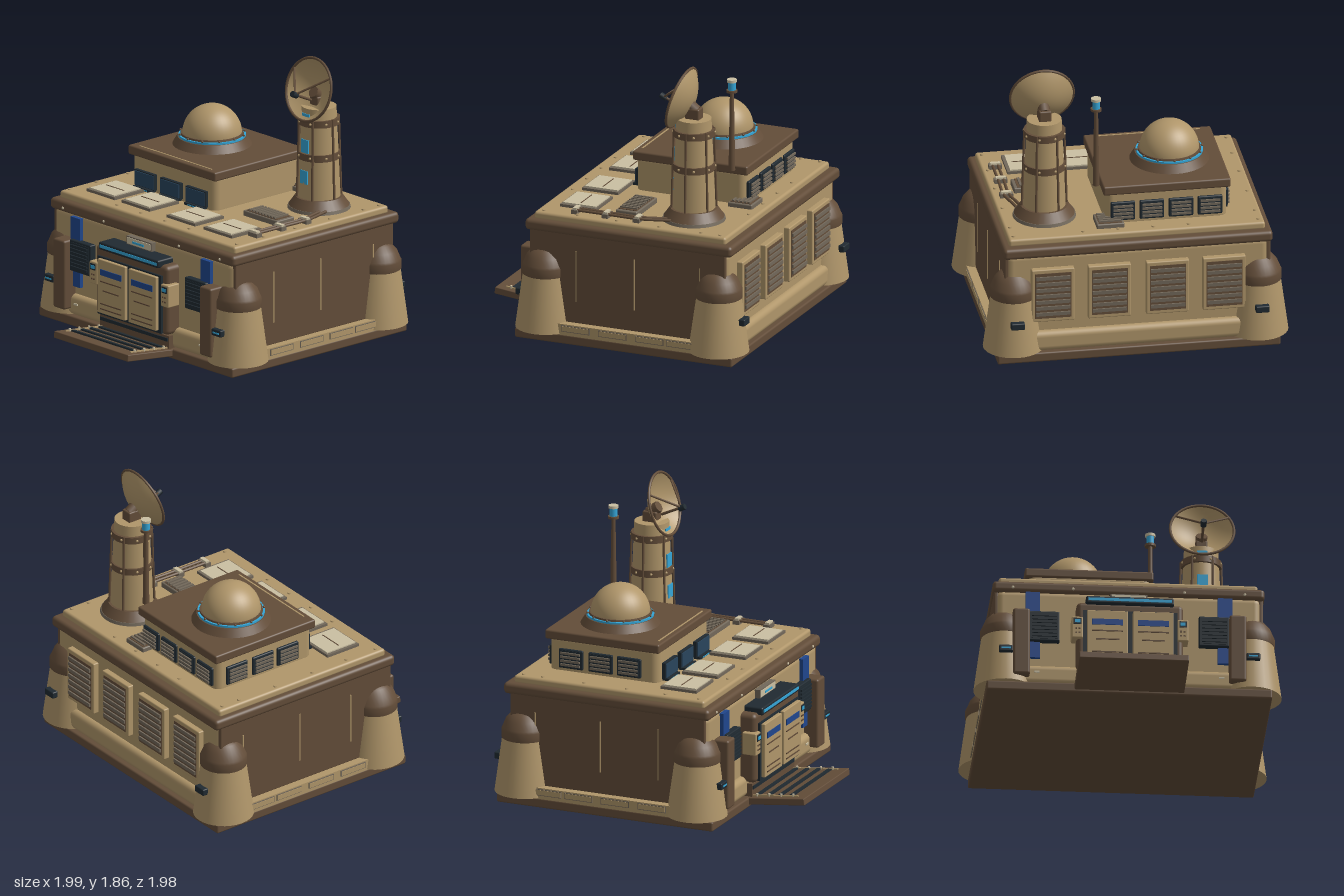
import * as THREE from 'three';
import { RoundedBoxGeometry } from 'three/addons/geometries/RoundedBoxGeometry.js';

const mat = (name, color, side = THREE.FrontSide) => {
  const m = new THREE.MeshStandardMaterial({ color, side });
  m.name = name;
  return m;
};

export function createModel() {
  const root = new THREE.Group();
  root.name = 'outpost';
  const tan = mat('sand plaster', 0xb0966a, THREE.DoubleSide);
  const brown = mat('brown metal', 0x634d39);
  const dark = mat('dark brown', 0x4a3828);
  const slate = mat('dark slate', 0x202a31);
  const navy = mat('blue banner', 0x20468c);
  const glass = mat('window blue', 0x29445c);
  const cyan = mat('cyan light', 0x35a5d6);
  const cream = mat('cream panel', 0xcabfa2);
  const grey = mat('grey metal', 0x72685a);

  let parent = root;
  const add = (name, geo, m, x, y, z) => {
    const mesh = new THREE.Mesh(geo, m);
    mesh.name = name;
    mesh.position.set(x, y, z);
    parent.add(mesh);
    return mesh;
  };
  const group = (name, x, y, z, build) => {
    const g = new THREE.Group(), old = parent;
    g.name = name;
    g.position.set(x, y, z);
    old.add(g);
    parent = g;
    build(g);
    parent = old;
    return g;
  };
  // Box from its limits, rounded when r > 0
  const box = (name, m, x0, x1, y0, y1, z0, z1, r = 0) => {
    const s = [x1 - x0, y1 - y0, z1 - z0];
    const geo = r ? new RoundedBoxGeometry(...s, 3, r) : new THREE.BoxGeometry(...s);
    return add(name, geo, m, (x0 + x1) / 2, (y0 + y1) / 2, (z0 + z1) / 2);
  };
  const cyl = (name, m, rTop, rBottom, y0, y1, x, z, n = 32) =>
    add(name, new THREE.CylinderGeometry(rTop, rBottom, y1 - y0, n), m, x, (y0 + y1) / 2, z);
  const rod = (name, m, a, b, r) => {
    const p = new THREE.Vector3(...a), q = new THREE.Vector3(...b), d = q.clone().sub(p);
    const mesh = add(name, new THREE.CylinderGeometry(r, r, d.length(), 8), m, 0, 0, 0);
    mesh.position.copy(p).add(q).multiplyScalar(0.5);
    mesh.quaternion.setFromUnitVectors(new THREE.Vector3(0, 1, 0), d.normalize());
    return mesh;
  };
  const sides = [-1, 1];
  // Louvred vent facing +z, centred on its group
  const vent = (name, w, h, x, y, z, frame, inner, slat, count, d = 0.04) => group(name, x, y, z, () => {
    box('ventFrame', frame, -w / 2, w / 2, -h / 2, h / 2, -d / 2, d / 2, 0.008);
    box('ventRecess', inner, -w * 0.42, w * 0.42, -h * 0.43, h * 0.43, d / 2, d / 2 + 0.004);
    for (let i = 0; i < count; i++) {
      const sy = h * 0.8 * ((i + 0.5) / count - 0.5);
      box('ventSlat', slat, -w * 0.4, w * 0.4, sy - h * 0.22 / count, sy + h * 0.22 / count, d / 2, d / 2 + 0.014);
    }
  });

  // Foundation and walls
  box('foundation', brown, -0.925, 0.925, 0, 0.065, -0.94, 0.59, 0.012);
  box('walls', tan, -0.86, 0.86, 0.07, 0.75, -0.88, 0.525, 0.05);
  box('lowerSkirt', tan, -0.86, 0.86, 0.06, 0.2, -0.92, 0.565, 0.04);
  box('cornice', brown, -0.88, 0.88, 0.725, 0.8, -0.915, 0.54, 0.025);
  box('roofSlab', tan, -0.838, 0.838, 0.79, 0.845, -0.857, 0.49, 0.018);
  for (const s of sides) {
    const span = (a, b) => (s > 0 ? [a, b] : [-b, -a]);
    box('sideWall', brown, ...span(0.84, 0.87), 0.13, 0.74, -0.87, 0.51, 0.01);
    box('sideSkirt', tan, ...span(0.84, 0.925), 0.06, 0.135, -0.7, 0.35);
    for (const z of [0.16, -0.1, -0.36, -0.58]) {
      box('skirtFrame', grey, ...span(0.92, 0.93), 0.085, 0.128, z - 0.1, z + 0.1);
      box('skirtPlate', tan, ...span(0.925, 0.933), 0.09, 0.123, z - 0.095, z + 0.095);
    }
    for (const z of [0.18, -0.23, -0.69]) box('wallSeam', tan, ...span(0.865, 0.875), 0.28, 0.625, z - 0.004, z + 0.004);

    // Corner towers with domed caps
    for (const [z, f] of [[0.425, 1], [-0.795, -1]]) group('cornerTower', s * 0.8, 0, z, () => {
      cyl('towerBody', tan, 0.145, 0.197, 0.065, 0.45, 0, 0);
      const cap = [[0.145, 0.425], [0.153, 0.43], [0.153, 0.485], [0.145, 0.5], [0.125, 0.55], [0.09, 0.59], [0.045, 0.612], [0, 0.618]];
      add('towerCap', new THREE.LatheGeometry(cap.map(p => new THREE.Vector2(...p)), 32), brown, 0, 0, 0);
      const zz = f * 0.175;
      box('towerLamp', slate, -0.045, 0.045, 0.262, 0.308, zz - 0.025, zz + 0.02, 0.008);
      box('towerLampLight', cyan, -0.03, 0.03, 0.28, 0.29, zz + f * 0.02 - 0.003, zz + f * 0.02 + 0.003);
    });

    // Front wall dressing
    box('buttress', brown, ...span(0.645, 0.755), 0.105, 0.57, 0.5, 0.625, 0.015);
    box('banner', navy, ...span(0.575, 0.668), 0.255, 0.72, 0.52, 0.55);
    vent('frontVent', 0.2, 0.21, s * 0.55, 0.47, 0.55, slate, slate, slate, 7, 0.05);
    box('skirtLamp', cream, ...span(0.58, 0.615), 0.138, 0.15, 0.56, 0.572);
    box('keypad', tan, ...span(0.305, 0.378), 0.36, 0.51, 0.55, 0.65, 0.008);
    box('keypadFrame', slate, ...span(0.317, 0.366), 0.455, 0.497, 0.648, 0.655);
    box('keypadScreen', cyan, ...span(0.324, 0.358), 0.465, 0.487, 0.652, 0.659);
    for (const [i, j] of [[0, 0], [1, 0], [0, 1], [1, 1]])
      box('key', brown, ...span(0.322 + i * 0.022, 0.334 + i * 0.022), 0.39 + j * 0.03, 0.4 + j * 0.03, 0.648, 0.655);
  }
  for (const x of [-0.75, -0.36, 0.36, 0.75]) add('corniceBolt', new THREE.SphereGeometry(0.01, 8, 6), cream, x, 0.755, 0.538);
  for (const x of [-0.56, -0.19, 0.19, 0.56])
    vent('backVent', 0.28, 0.37, x, 0.46, -0.89, tan, brown, grey, 7, 0.06).rotation.y = Math.PI;

  // Entrance
  group('entrance', 0, 0, 0, () => {
    box('doorSurround', brown, -0.345, 0.345, 0.16, 0.625, 0.48, 0.63, 0.03);
    box('doorRecess', slate, -0.305, 0.305, 0.17, 0.56, 0.6, 0.645);
    for (const s of sides) {
      const c = s * 0.148;
      box('doorLeaf', tan, c - 0.132, c + 0.132, 0.188, 0.55, 0.62, 0.67, 0.006);
      box('doorStripe', navy, c - 0.1, c + 0.1, 0.447, 0.487, 0.668, 0.675);
      for (const [y, w] of [[0.405, 0.1], [0.345, 0.075], [0.255, 0.1], [0.22, 0.1]])
        box('doorGroove', brown, c - w, c + w, y - 0.004, y + 0.004, 0.668, 0.674);
    }
    box('awning', slate, -0.285, 0.285, 0.607, 0.66, 0.51, 0.655, 0.012);
    box('awningLight', cyan, -0.27, 0.27, 0.625, 0.644, 0.65, 0.659);
    box('signFrame', grey, -0.12, 0.12, 0.663, 0.72, 0.51, 0.56);
    box('signPlate', cream, -0.11, 0.11, 0.67, 0.712, 0.558, 0.565);
    box('signLight', cyan, -0.055, 0.055, 0.682, 0.696, 0.563, 0.569);
    box('threshold', brown, -0.33, 0.33, 0.06, 0.15, 0.53, 0.6);
    box('thresholdGrille', slate, -0.32, 0.32, 0.113, 0.135, 0.59, 0.607);
  });

  // Ramp, rising slightly outward
  group('ramp', 0, 0.063, 0.782, g => {
    g.rotation.x = -0.115;
    box('rampPlate', brown, -0.355, 0.355, -0.023, 0.023, -0.2, 0.2, 0.006);
    for (let i = 0; i < 4; i++) box('rampTread', slate, -0.3, 0.3, 0.02, 0.034, -0.165 + i * 0.08, -0.14 + i * 0.08);
    for (const s of sides) {
      box('rampRail', tan, s * 0.31 - 0.006, s * 0.31 + 0.006, 0.02, 0.032, -0.18, 0.14);
      for (let i = 0; i < 4; i++) cyl('rampStud', cream, 0.008, 0.008, 0.02, 0.042, s * 0.31, -0.15 + i * 0.085, 8);
    }
  });

  // Roof cabin
  group('cabin', 0, 0, 0, () => {
    box('cabinWalls', tan, -0.615, 0.18, 0.8, 1.09, -0.71, 0.065, 0.05);
    box('cabinRoof', brown, -0.635, 0.198, 1.05, 1.112, -0.73, 0.078, 0.012);
    box('roofEdgeTrim', tan, -0.56, 0.13, 1.108, 1.115, 0.035, 0.045);
    for (const x of [-0.465, -0.218, 0.025]) {
      box('windowFrame', slate, x - 0.095, x + 0.095, 0.862, 0.968, 0.05, 0.09);
      box('windowPane', glass, x - 0.088, x + 0.088, 0.869, 0.961, 0.088, 0.096);
      box('windowSill', slate, x - 0.085, x + 0.085, 0.848, 0.864, 0.05, 0.112);
      box('sillLight', cyan, x - 0.05, x + 0.05, 0.852, 0.858, 0.108, 0.115);
    }
    for (const x of [-0.5, -0.31, -0.12, 0.07])
      vent('cabinBackVent', 0.16, 0.13, x, 0.93, -0.71, slate, slate, grey, 4, 0.03).rotation.y = Math.PI;
    for (const z of [-0.55, -0.34, -0.14])
      vent('cabinSideVent', 0.17, 0.13, -0.615, 0.93, z, slate, slate, grey, 4, 0.03).rotation.y = -Math.PI / 2;
  });

  // Observation dome
  group('dome', -0.295, 0, -0.348, () => {
    cyl('domeBase', brown, 0.225, 0.262, 1.105, 1.165, 0, 0, 40);
    cyl('domeLightRing', cyan, 0.218, 0.218, 1.16, 1.178, 0, 0, 40);
    cyl('domeCollar', brown, 0.203, 0.207, 1.17, 1.19, 0, 0, 40);
    add('domeShell', new THREE.SphereGeometry(0.193, 40, 16, 0, Math.PI * 2, 0, Math.PI / 2), tan, 0, 1.183, 0);
    for (let i = 0; i < 12; i++) {
      const a = i * Math.PI / 6;
      add('domeBolt', new THREE.SphereGeometry(0.008, 8, 6), brown, 0.213 * Math.cos(a), 1.184, 0.213 * Math.sin(a));
    }
  });

  // Dish tower
  group('dishTower', 0.55, 0, -0.51, () => {
    cyl('towerFlange', grey, 0.2, 0.207, 0.84, 0.865, 0, 0);
    cyl('towerFoot', brown, 0.155, 0.2, 0.86, 0.925, 0, 0);
    cyl('towerColumn', tan, 0.113, 0.14, 0.9, 1.53, 0, 0);
    for (const [y, r] of [[1.205, 0.137], [1.435, 0.134]]) {
      cyl('towerBand', brown, r, r, y - 0.023, y + 0.023, 0, 0);
      for (let i = 0; i < 8; i++) {
        const a = (i + 0.5) * Math.PI / 4;
        add('bandBolt', new THREE.SphereGeometry(0.009, 8, 6), tan, r * Math.sin(a), y, r * Math.cos(a));
      }
    }
    for (let i = 0; i < 6; i++) {
      const a = (i + 0.5) * Math.PI / 3;
      rod('towerStrut', brown, [0.147 * Math.sin(a), 0.9, 0.147 * Math.cos(a)], [0.13 * Math.sin(a), 1.46, 0.13 * Math.cos(a)], 0.008);
    }
    for (const [y, h, z] of [[1.277, 0.09, 0.126], [1.07, 0.09, 0.134], [1.475, 0.04, 0.117]])
      box('towerWindow', cyan, -0.034, 0.034, y - h / 2, y + h / 2, z - 0.01, z);
    box('dishYoke', brown, -0.04, 0.04, 1.52, 1.6, -0.05, 0.05, 0.01);
    rod('dishPivot', brown, [0, 1.58, -0.02], [0, 1.63, 0.05], 0.038);
  });
  group('dish', 0.55, 1.655, -0.42, g => {
    g.rotation.x = 1.29;
    const bowl = [];
    for (let i = 0; i <= 10; i++) bowl.push(new THREE.Vector2(0.021 * i, 0.09 * (i * i / 100 - 1)));
    add('dishBowl', new THREE.LatheGeometry(bowl, 40), tan, 0, 0, 0);
    add('dishRim', new THREE.TorusGeometry(0.207, 0.009, 8, 40), brown, 0, 0, 0).rotation.x = Math.PI / 2;
  });
  group('dishFeed', 0, 0, 0, () => {
    for (const s of sides) rod('feedStrut', brown, [0.55 + s * 0.17, 1.76, -0.45], [0.55, 1.645, -0.3], 0.007);
    rod('feedArm', brown, [0.55, 1.58, -0.44], [0.55, 1.645, -0.3], 0.009);
    rod('feedHorn', slate, [0.55, 1.635, -0.315], [0.55, 1.655, -0.275], 0.02);
  });

  // Beacon mast
  group('beacon', 0.232, 0, -0.637, () => {
    cyl('mast', brown, 0.013, 0.022, 1.09, 1.63, 0, 0, 12);
    cyl('beaconSeat', brown, 0.036, 0.036, 1.622, 1.638, 0, 0, 16);
    cyl('beaconLight', cyan, 0.025, 0.025, 1.635, 1.695, 0, 0, 16);
    cyl('beaconCap', cream, 0.033, 0.033, 1.692, 1.71, 0, 0, 16);
  });

  // Roof hatches, vents, pipes and bolts
  for (const x of [-0.57, -0.235, 0.197, 0.55]) group('roofHatch', x, 0.845, 0.248, () => {
    box('hatchFrame', grey, -0.135, 0.135, -0.005, 0.018, -0.127, 0.127);
    box('hatchPanel', cream, -0.115, 0.115, 0.015, 0.026, -0.115, 0.115);
    box('hatchSeam', brown, -0.085, 0.085, 0.024, 0.029, -0.003, 0.003);
  });
  vent('roofVent', 0.15, 0.33, 0.525, 0.86, -0.093, grey, brown, grey, 9).rotation.set(-Math.PI / 2, 0, Math.PI / 2);
  vent('rearRoofVent', 0.18, 0.17, 0.16, 0.855, -0.7, grey, brown, grey, 5).rotation.x = -Math.PI / 2;
  for (const dx of [0, 0.035]) {
    const path = new THREE.CatmullRomCurve3([[0.68, -0.42], [0.7, -0.34], [0.73, -0.22], [0.73, 0], [0.73, 0.24]]
      .map(([x, z]) => new THREE.Vector3(x + dx, 0.867, z)));
    add('roofPipe', new THREE.TubeGeometry(path, 24, 0.01, 8), brown, 0, 0, 0);
  }
  for (const z of [-0.205, 0.015, 0.23]) {
    box('pipeClampBase', grey, 0.705, 0.79, 0.84, 0.872, z - 0.022, z + 0.022);
    box('pipeClamp', cream, 0.715, 0.78, 0.87, 0.885, z - 0.014, z + 0.014);
  }
  const bolt = (x, z) => cyl('roofBolt', tan, 0.011, 0.013, 0.843, 0.853, x, z, 10);
  for (const x of [-0.8, -0.345, -0.115, 0.115, 0.345, 0.8]) for (const z of [-0.805, 0.435]) bolt(x, z);
  for (const x of [-0.8, 0.8]) for (const z of [-0.67, -0.375, -0.075, 0.2]) bolt(x, z);
  return root;
}
